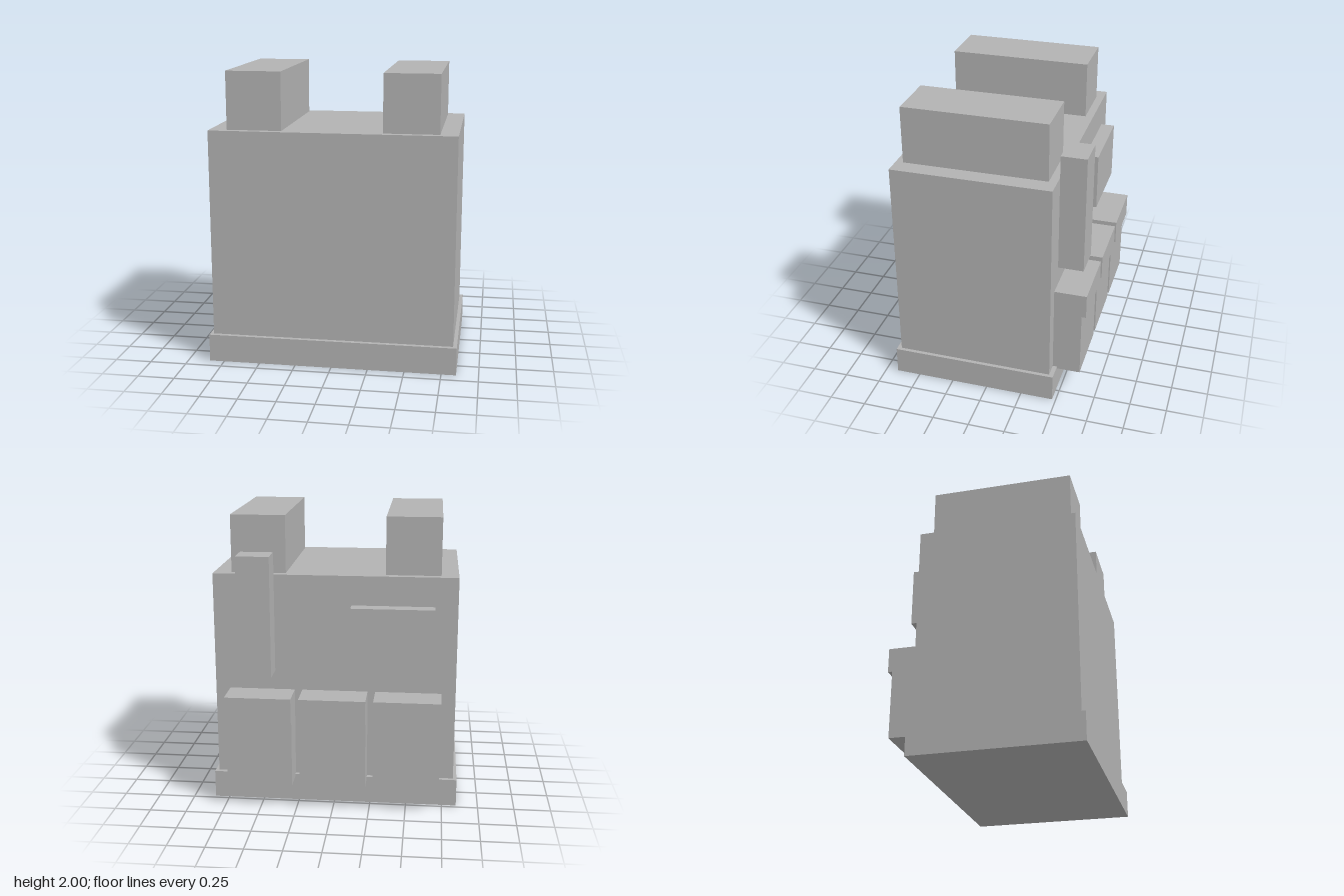
import * as THREE from 'three';

export function createModel() {
  const model = new THREE.Group();
  model.name = 'building';
  const grey = new THREE.MeshStandardMaterial({ color: 0xb2b2b2 });
  grey.name = 'plain grey';

  // Box given by its extents along each axis
  function block(name, [x0, x1], [y0, y1], [z0, z1], parent = model) {
    const mesh = new THREE.Mesh(new THREE.BoxGeometry(x1 - x0, y1 - y0, z1 - z0), grey);
    mesh.position.set((x0 + x1) / 2, (y0 + y1) / 2, (z0 + z1) / 2);
    mesh.name = name;
    parent.add(mesh);
    return mesh;
  }

  const backZ = -0.445;

  // Plinth and main body
  block('base', [-0.85, 0.85], [0, 0.19], [-0.475, 0.665]);
  block('body', [-0.825, 0.825], [0.19, 1.61], [backZ, 0.635]);

  // Two long blocks on the roof
  block('leftRoofBlock', [0.335, 0.705], [1.61, 2], [-0.39, 0.585]);
  block('rightRoofBlock', [-0.708, -0.338], [1.61, 2], [-0.39, 0.585]);

  // Row of three pouches with overhanging flaps on the back
  for (const x of [-0.503, -0.001, 0.501]) {
    const pouch = new THREE.Group();
    pouch.name = 'backPouch';
    const width = [x - 0.225, x + 0.225];
    block('pouchBody', width, [0.175, 0.64], [-0.635, backZ], pouch);
    block('pouchFlap', width, [0.64, 0.807], [-0.665, backZ], pouch);
    model.add(pouch);
  }

  // Upright column and flat panel on the back
  block('backColumn', [0.41, 0.633], [0.94, 1.76], [-0.618, backZ]);
  block('backPanel', [-0.672, -0.113], [1.01, 1.41], [-0.54, backZ]);

  return model;
}
